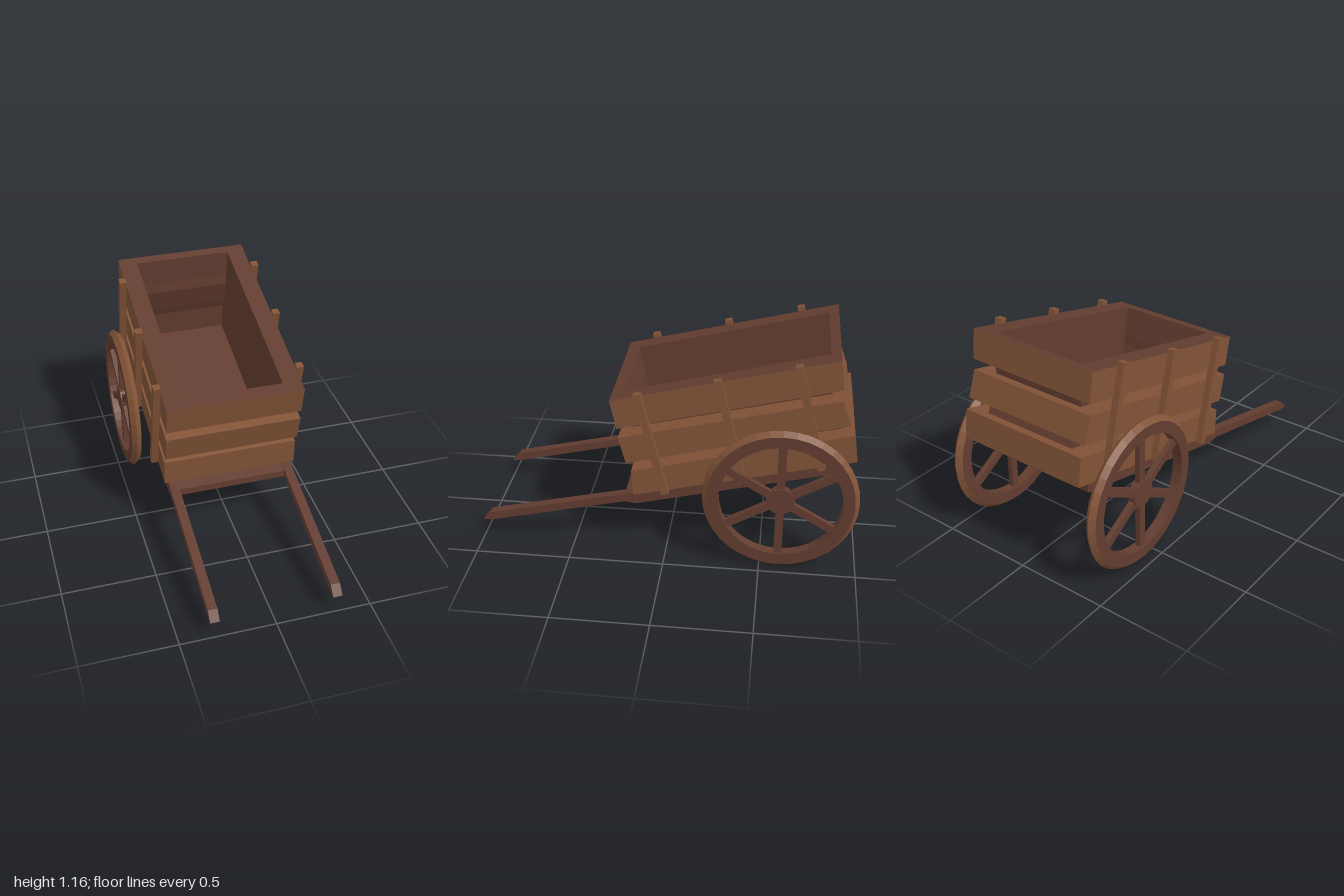
import * as THREE from 'three';

const make = (name, color, side = THREE.FrontSide) =>
  new THREE.MeshStandardMaterial({ name, color, side, flatShading: true });

// Rectangular loop of four corners; front and back are [z, y]
const loop = (w, [zf, yf], [zb, yb]) =>
  [[w, yf, zf], [w, yb, zb], [-w, yb, zb], [-w, yf, zf]];

// Skin joining successive four-corner loops, optionally closed at the first loop
function skin(loops, floor = false) {
  const pos = [];
  const quad = (a, b, c, d) => pos.push(...a, ...b, ...c, ...a, ...c, ...d);
  for (let k = 0; k < loops.length - 1; k++) {
    const A = loops[k], B = loops[k + 1];
    for (let i = 0; i < 4; i++) {
      const j = (i + 1) % 4;
      quad(A[i], A[j], B[j], B[i]);
    }
  }
  if (floor) quad(...loops[0]);
  const g = new THREE.BufferGeometry();
  g.setAttribute('position', new THREE.Float32BufferAttribute(pos, 3));
  g.computeVertexNormals();
  return g;
}

// Side profile of [z, y] points extruded from x0 to x1
function prism(profile, x0, x1) {
  const shape = new THREE.Shape(profile.map(([z, y]) => new THREE.Vector2(z, y)));
  const g = new THREE.ExtrudeGeometry(shape, { depth: x1 - x0, bevelEnabled: false });
  return g.rotateY(-Math.PI / 2).translate(x1, 0, 0);
}

export function createModel() {
  const plankWood = make('plank wood', 0x825337);
  const darkWood = make('dark wood', 0x633d30, THREE.DoubleSide);
  const root = new THREE.Group();
  root.name = 'handCart';
  const add = (parent, name, geometry, material) => {
    const m = new THREE.Mesh(geometry, material);
    m.name = name;
    parent.add(m);
    return m;
  };

  // Three plank courses, bottom to top: front and back corners, low then high
  const courses = [
    { name: 'lowerPlanks', lowF: [0.17, 0.333], lowB: [-0.968, 0.609], topF: [0.18, 0.477], topB: [-0.946, 0.759] },
    { name: 'middlePlanks', lowF: [0.206, 0.521], lowB: [-0.92, 0.812], topF: [0.244, 0.668], topB: [-0.871, 0.946] },
    { name: 'upperPlanks', lowF: [0.25, 0.721], lowB: [-0.871, 1.005], topF: [0.284, 0.877], topB: [-0.85, 1.16] },
  ];
  const outer = (f, b) => loop(0.363, f, b);
  const inner = (f, b) => loop(0.265, [f[0] - 0.064, f[1] + 0.016], [b[0] + 0.05, b[1] - 0.012]);
  const tub = [];
  courses.forEach((c, i) => {
    const inLow = inner(c.lowF, c.lowB), inTop = inner(c.topF, c.topB);
    const outLow = outer(c.lowF, c.lowB), outTop = outer(c.topF, c.topB);
    tub.push(inLow, inTop);
    if (i < 2) {
      add(root, c.name, skin([inLow, outLow, outTop, inTop]), plankWood);
    } else {
      add(root, c.name, skin([inLow, outLow, outTop]), plankWood);
      add(root, 'topRim', skin([outTop, inTop]), darkWood);
    }
  });

  // Hollow lining seen inside and through the gaps
  add(root, 'tubLining', skin(tub, true), darkWood);

  // Floor slab and the two pulling shafts beside it
  add(root, 'floorSlab', prism([[0.22, 0.276], [0.22, 0.315], [0.16, 0.331],
    [-0.88, 0.584], [-0.88, 0.525], [0.16, 0.268]], -0.294, 0.294), darkWood);
  const shaft = [[1, 0.103], [0.957, 0.15], [0.17, 0.332], [-0.88, 0.585],
    [-0.88, 0.525], [0.16, 0.268], [0.22, 0.276], [0.95, 0.105]];

  for (const s of [1, -1]) {
    const side = s > 0 ? 'left' : 'right';
    add(root, side + 'Shaft', prism(shaft, s > 0 ? 0.294 : -0.343, s > 0 ? 0.343 : -0.294), darkWood);

    // Upright stakes, square to the tilted body
    for (const [z, y] of [[0.07, 0.652], [-0.33, 0.752], [-0.72, 0.85]]) {
      const stake = add(root, side + 'Stake', new THREE.BoxGeometry(0.038, 0.583, 0.038), plankWood);
      stake.position.set(s * 0.381, y, z);
      stake.rotation.x = 0.244;
    }

    // Spoked wheel, built around y and turned onto x
    const wheel = new THREE.Group();
    wheel.name = side + 'Wheel';
    const ring = (pts) => new THREE.LatheGeometry(pts.map(([r, h]) => new THREE.Vector2(r, h)), 36);
    add(wheel, 'tread', ring([[0.377, -0.028], [0.4, 0], [0.377, 0.028]]), plankWood);
    add(wheel, 'felloe', ring([[0.377, 0.028], [0.316, 0.028], [0.316, -0.028], [0.377, -0.028]]), darkWood);
    add(wheel, 'hub', new THREE.CylinderGeometry(0.073, 0.073, 0.044, 12), darkWood);
    for (let i = 0; i < 3; i++) {
      const spoke = add(wheel, 'spoke', new THREE.BoxGeometry(0.64, 0.028, 0.042), darkWood);
      spoke.rotation.y = i * Math.PI / 3;
    }
    wheel.rotation.z = -Math.PI / 2;
    wheel.position.set(s * 0.431, 0.402, -0.595);
    root.add(wheel);
  }
  return root;
}
